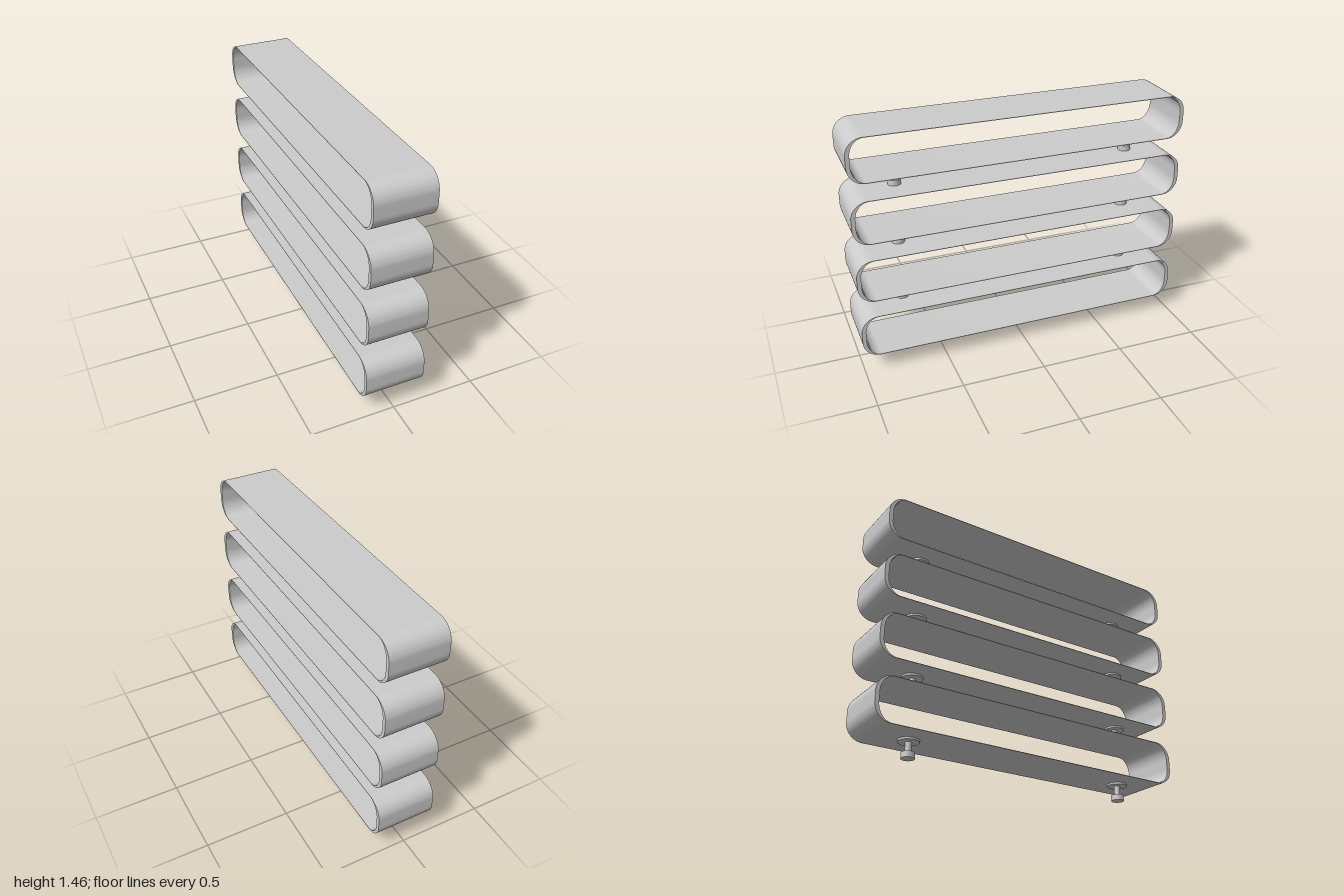
import * as THREE from 'three';
import { toCreasedNormals } from 'three/addons/utils/BufferGeometryUtils.js';

const TIERS = 4, PITCH = 0.365, FOOT_H = 0.102, BAND_H = 0.262, WIDTH = 0.354, FOOT_Z = 0.714;

// Rounded outline with elliptical corners (half length a, half height b, corner radii rx, ry)
function outline(path, a, b, rx, ry) {
  path.moveTo(a, -b + ry);
  path.lineTo(a, b - ry);
  path.absellipse(a - rx, b - ry, rx, ry, 0, Math.PI / 2);
  path.lineTo(-a + rx, b);
  path.absellipse(-a + rx, b - ry, rx, ry, Math.PI / 2, Math.PI);
  path.lineTo(-a, -b + ry);
  path.absellipse(-a + rx, -b + ry, rx, ry, Math.PI, Math.PI * 1.5);
  path.lineTo(a - rx, -b);
  path.absellipse(a - rx, -b + ry, rx, ry, Math.PI * 1.5, Math.PI * 2);
  return path;
}

export function createModel() {
  const group = new THREE.Group();
  const material = new THREE.MeshStandardMaterial({ color: 0xcccccc });

  // Hollow band: thin along top and bottom, thicker at the rounded ends
  const shape = outline(new THREE.Shape(), 1, BAND_H / 2, 0.1, 0.1);
  shape.holes.push(outline(new THREE.Path(), 0.976, BAND_H / 2 - 0.003, 0.08, 0.1));
  let bandGeo = new THREE.ExtrudeGeometry(shape, { depth: WIDTH, bevelEnabled: false, curveSegments: 16 });
  bandGeo.translate(0, 0, -WIDTH / 2).rotateY(-Math.PI / 2);
  bandGeo = toCreasedNormals(bandGeo, 0.6);

  // Foot pieces: name, radius, bottom, top
  const footParts = [
    ['footPad', 0.038, 0, 0.034],
    ['footStem', 0.018, 0.034, 0.091],
    ['footFlange', 0.06, 0.091, FOOT_H],
  ].map(([name, r, y0, y1]) => ({
    name,
    geo: new THREE.CylinderGeometry(r, r, y1 - y0, 32).translate(0, (y0 + y1) / 2, 0),
  }));

  for (let i = 0; i < TIERS; i++) {
    const tier = new THREE.Group();
    tier.name = `tier${i + 1}`;
    tier.position.y = i * PITCH;

    const band = new THREE.Mesh(bandGeo, material);
    band.name = 'hollowBand';
    band.position.y = FOOT_H + BAND_H / 2;
    tier.add(band);

    // A foot near each end
    for (const side of [1, -1]) {
      const foot = new THREE.Group();
      foot.name = side > 0 ? 'frontFoot' : 'backFoot';
      foot.position.z = side * FOOT_Z;
      for (const { name, geo } of footParts) {
        const mesh = new THREE.Mesh(geo, material);
        mesh.name = name;
        foot.add(mesh);
      }
      tier.add(foot);
    }
    group.add(tier);
  }
  return group;
}
